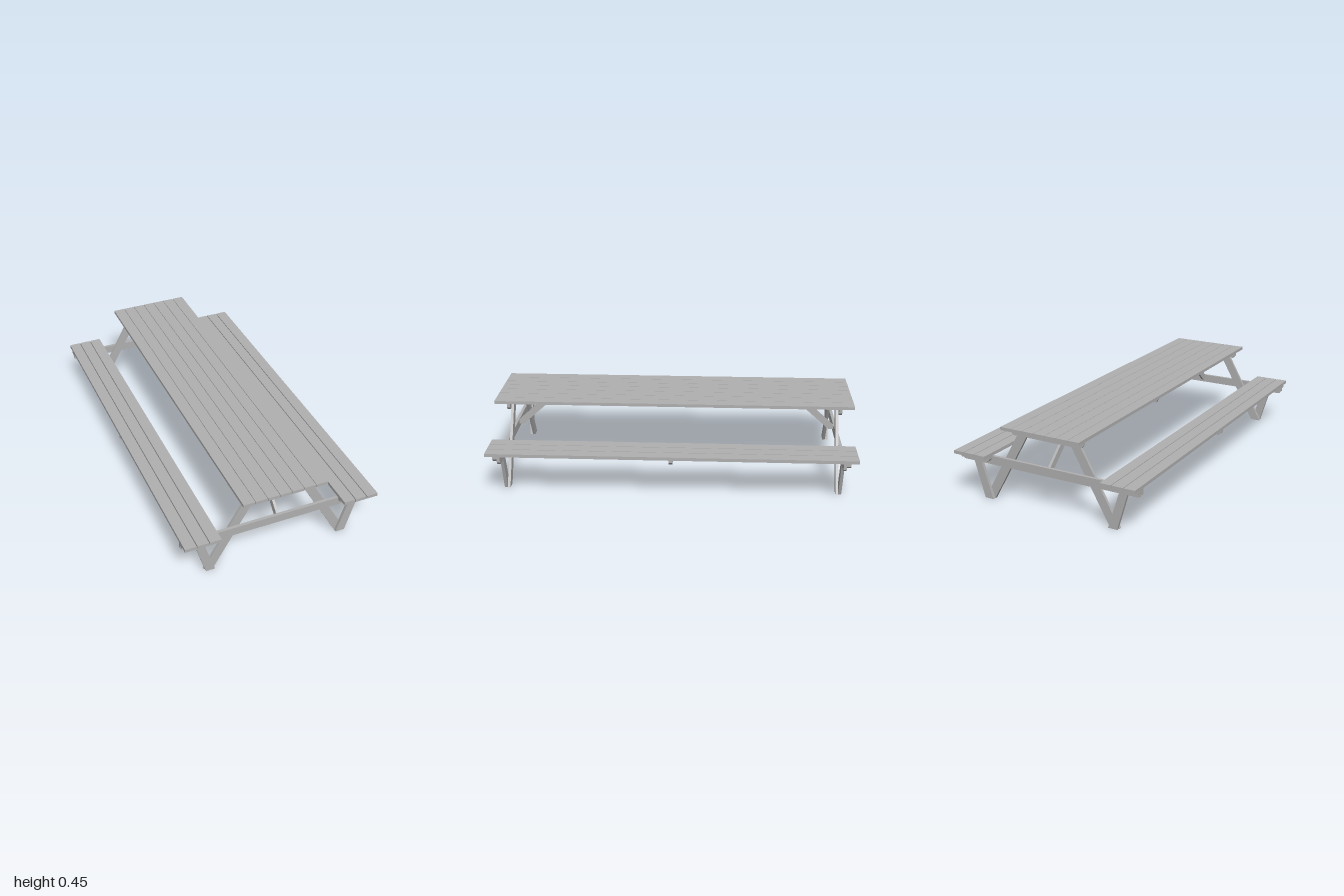
import * as THREE from 'three';

const wood = new THREE.MeshStandardMaterial({ color: 0xb0b0b0 });
wood.name = 'grey timber';

export function createModel() {
  const model = new THREE.Group();
  model.name = 'picnicTable';

  const add = (name, geometry) => {
    const mesh = new THREE.Mesh(geometry, wood);
    mesh.name = name;
    model.add(mesh);
    return mesh;
  };

  const box = (name, x0, x1, y0, y1, z0, z1) =>
    add(name, new THREE.BoxGeometry(x1 - x0, y1 - y0, z1 - z0))
      .position.set((x0 + x1) / 2, (y0 + y1) / 2, (z0 + z1) / 2);

  // Flat board cut from a polygon, lying between two depths
  const board = (points, z0, z1) => {
    const shape = new THREE.Shape(points.map(([x, y]) => new THREE.Vector2(x, y)));
    const geometry = new THREE.ExtrudeGeometry(shape, { depth: Math.abs(z1 - z0), bevelEnabled: false });
    return geometry.translate(0, 0, Math.min(z0, z1));
  };

  // Horizontal bearer with its lower corners cut off
  const bearer = (name, x0, x1, y0, y1, z0, z1, cut = 0.015) =>
    add(name, board([
      [x0, y1], [x0, y0 + cut], [x0 + cut, y0], [x1 - cut, y0], [x1, y0 + cut], [x1, y1],
    ], z0, z1));

  // Tabletop planks
  for (let i = -3; i <= 3; i++) {
    const x = i * 0.0667;
    box('tablePlank', x - 0.032, x + 0.032, 0.432, 0.449, -1, 1);
  }

  // Benches: three planks each and a middle bearer
  for (const s of [-1, 1]) {
    for (let i = -1; i <= 1; i++) {
      const x = s * 0.4435 + i * 0.0667;
      box('benchPlank', x - 0.031, x + 0.031, 0.247, 0.265, -1, 1);
    }
    const c = s * 0.4435;
    bearer('benchMiddleBearer', c - 0.0975, c + 0.0975, 0.218, 0.247, -0.01, 0.01);
  }

  // End frames
  for (const e of [-1, 1]) {
    bearer('crossBeam', -0.541, 0.541, 0.2, 0.247, e * 0.917, e * 0.934);
    bearer('tableEndBearer', -0.216, 0.216, 0.39, 0.432, e * 0.917, e * 0.934);
    bearer('tableInnerBearer', -0.19, 0.19, 0.412, 0.432, e * 0.678, e * 0.713, 0.01);

    for (const s of [-1, 1]) {
      const c = s * 0.4435;
      bearer('benchEndBearer', c - 0.0975, c + 0.0975, 0.218, 0.247, e * 0.934, e * 0.957);
      // Long leg runs from the ground to the tabletop
      add('longLeg', board([
        [s * 0.409, 0], [s * 0.351, 0], [s * 0.108, 0.43], [s * 0.166, 0.43],
      ], e * 0.902, e * 0.917));
      // Short leg props up the bench
      add('shortLeg', board([
        [s * 0.403, 0], [s * 0.352, 0], [s * 0.415, 0.2], [s * 0.462, 0.2],
      ], e * 0.917, e * 0.934));
    }

    // Diagonal brace from the cross beam to the inner bearer
    const brace = board([
      [0.917, 0.246], [0.917, 0.222], [0.89, 0.222], [0.678, 0.412], [0.69, 0.432], [0.713, 0.432],
    ], -0.007, 0.007);
    add('diagonalBrace', brace.rotateY(-e * Math.PI / 2));
  }

  return model;
}
